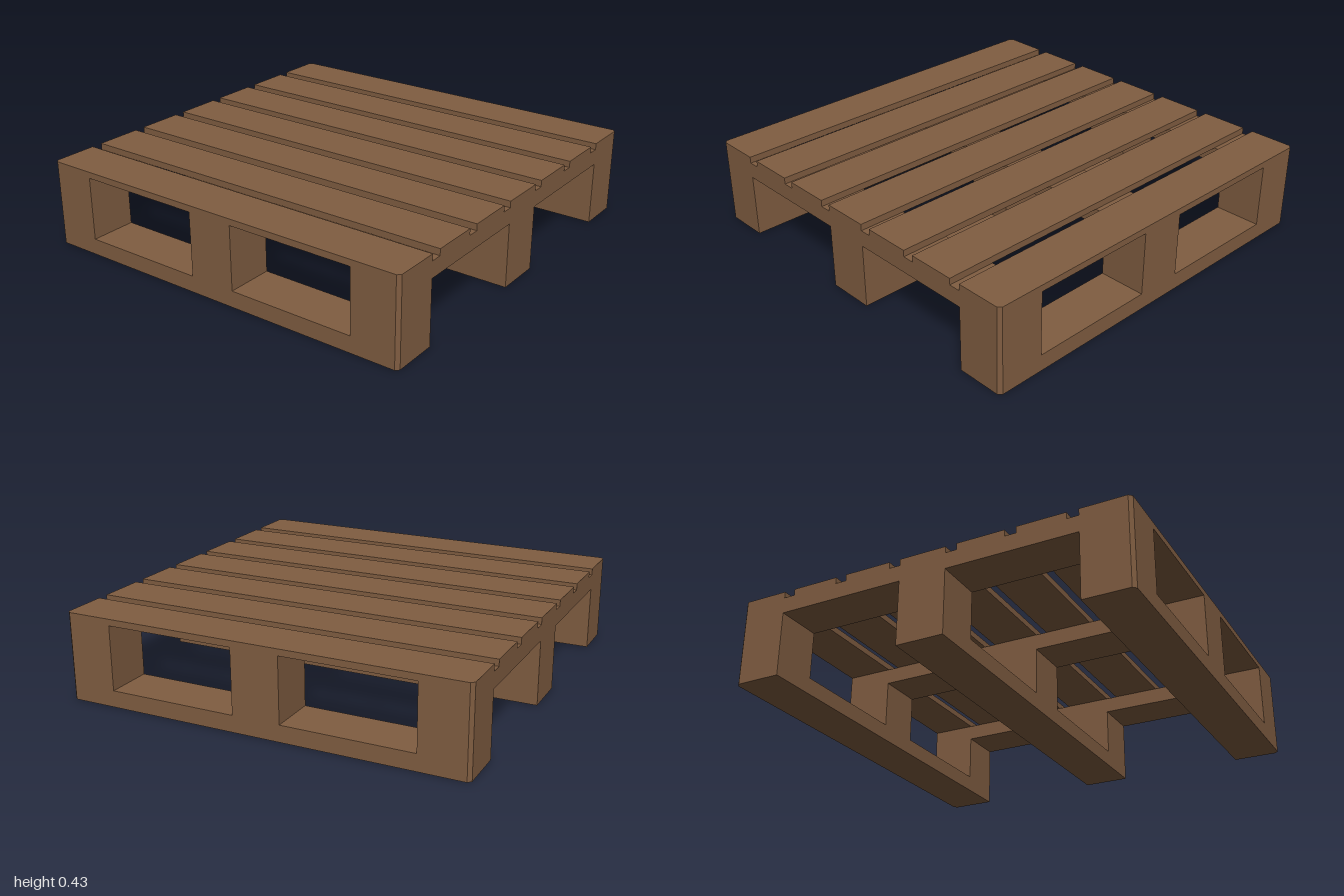
import * as THREE from 'three';

const HALF = 0.998;      // half of the footprint
const WIDTH = 0.237;     // width of every plank and block
const CHAMFER = 0.016;   // cut on the four outer corners
const OFFSET = HALF - WIDTH / 2;

export function createModel() {
  const wood = new THREE.MeshStandardMaterial({ color: 0x805d41 });
  wood.name = 'brown wood';
  const model = new THREE.Group();
  model.name = 'pallet';

  // Plank with its vertical edges cut where they meet a pallet corner
  function plank(name, x, z, w, d, y0, y1) {
    const points = [];
    for (const [sx, sz] of [[-1, -1], [1, -1], [1, 1], [-1, 1]]) {
      const px = x + sx * w / 2, pz = z + sz * d / 2;
      const outer = Math.abs(px) > HALF - 0.01 && Math.abs(pz) > HALF - 0.01;
      if (!outer) { points.push(new THREE.Vector2(px, pz)); continue; }
      const alongX = new THREE.Vector2(px - sx * CHAMFER, pz);
      const alongZ = new THREE.Vector2(px, pz - sz * CHAMFER);
      points.push(...(sx * sz > 0 ? [alongZ, alongX] : [alongX, alongZ]));
    }
    const geometry = new THREE.ExtrudeGeometry(new THREE.Shape(points), { depth: y1 - y0, bevelEnabled: false });
    geometry.rotateX(-Math.PI / 2).translate(0, y0, 0);
    const mesh = new THREE.Mesh(geometry, wood);
    mesh.name = name;
    model.add(mesh);
  }

  // Deck boards
  for (let i = 0; i < 7; i++) {
    plank('deckBoard', 0, -OFFSET + i * OFFSET / 3, 2 * HALF, WIDTH, 0.4, 0.432);
  }

  for (const a of [-OFFSET, 0, OFFSET]) {
    // Stringers under the deck and skids on the floor
    plank('stringer', a, 0, WIDTH, 2 * HALF, 0.32, 0.4);
    plank('skid', 0, a, 2 * HALF, WIDTH, 0, 0.082);
    // Spacer blocks between them
    for (const b of [-OFFSET, 0, OFFSET]) plank('block', a, b, WIDTH, WIDTH, 0.082, 0.32);
  }
  return model;
}
